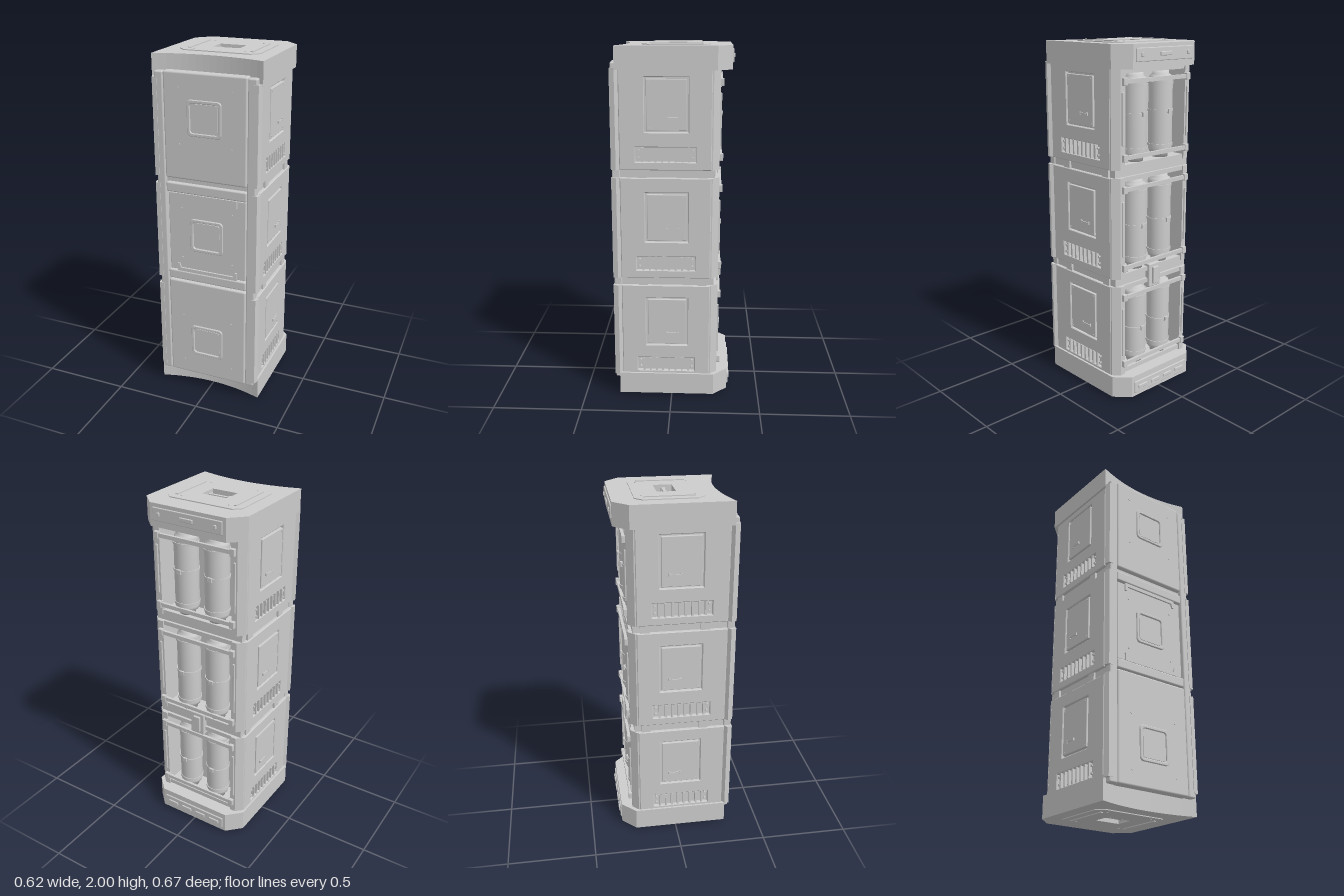
import * as THREE from 'three';
import { RoundedBoxGeometry } from 'three/addons/geometries/RoundedBoxGeometry.js';

const grey = new THREE.MeshStandardMaterial({ color: 0xcccccc });
grey.name = 'plain grey';

function add(parent, name, geo, x = 0, y = 0, z = 0) {
  const m = new THREE.Mesh(geo, grey);
  m.name = name;
  m.position.set(x, y, z);
  parent.add(m);
  return m;
}
// box given by its limits, optionally with rounded edges
function block(parent, name, x0, x1, y0, y1, z0, z1, r = 0) {
  const s = [x1 - x0, y1 - y0, z1 - z0];
  const geo = r ? new RoundedBoxGeometry(...s, 2, r) : new THREE.BoxGeometry(...s);
  return add(parent, name, geo, (x0 + x1) / 2, (y0 + y1) / 2, (z0 + z1) / 2);
}
const poly = (pts) => new THREE.Shape(pts.map((p) => new THREE.Vector2(...p)));
const rect = (x0, x1, y0, y1) => poly([[x0, y0], [x1, y0], [x1, y1], [x0, y1]]);
function roundRect(w, r) {
  const s = new THREE.Shape();
  s.absarc(w - r, w - r, r, 0, Math.PI / 2);
  s.absarc(r - w, w - r, r, Math.PI / 2, Math.PI);
  s.absarc(r - w, r - w, r, Math.PI, Math.PI * 1.5);
  s.absarc(w - r, r - w, r, Math.PI * 1.5, Math.PI * 2);
  return s;
}
const extrude = (shape, depth, bevel = 0) => new THREE.ExtrudeGeometry(shape, {
  depth: depth - bevel, curveSegments: 16, bevelEnabled: bevel > 0,
  bevelThickness: bevel, bevelSize: bevel, bevelOffset: -bevel, bevelSegments: 1 });
// plan outline (x, -z) extruded upward from y0 to y1
function slab(parent, name, shape, y0, y1) {
  const m = add(parent, name, extrude(shape, y1 - y0), 0, y0, 0);
  m.rotation.x = -Math.PI / 2;
  return m;
}

// end cap with hollow front, chamfered back corners and recessed handle
function endCap(name, slots) {
  const g = new THREE.Group();
  g.name = name;
  const outline = [[0.308, -0.3], [0.308, 0.24], [0.228, 0.32], [-0.228, 0.32], [-0.308, 0.24], [-0.308, -0.3]];
  for (let i = 1; i < 16; i++) {
    const t = i / 8 - 1;
    outline.push([t * 0.308, -0.25 - 0.05 * t * t]);
  }
  const well = () => rect(-0.077, 0.077, -0.03, 0.072);
  const lid = poly(outline);
  lid.holes.push(well());
  slab(g, 'capLid', lid, 1.95, 1.99);
  slab(g, 'capBase', poly(outline), 1.865, 1.95);
  const plate = poly([[0.228, -0.122], [0.228, 0.164], [0.19, 0.202], [-0.19, 0.202],
    [-0.228, 0.164], [-0.228, -0.122], [-0.19, -0.162], [0.19, -0.162]]);
  plate.holes.push(well());
  slab(g, 'coverPlate', plate, 1.988, 1.995);
  for (const s of [-1, 1]) {
    block(g, 'plateRail', s * 0.178 - 0.007, s * 0.178 + 0.007, 1.994, 2, -0.155, 0.115);
    for (const z of [-0.16, 0.12])
      add(g, 'plateScrew', new THREE.CylinderGeometry(0.005, 0.005, 0.004, 10), s * 0.145, 1.996, z);
    block(g, 'handleFoot', s * 0.056 - 0.005, s * 0.056 + 0.005, 1.95, 1.986, -0.034, -0.006);
  }
  block(g, 'handleGrip', -0.052, 0.052, 1.974, 1.984, -0.029, -0.012);
  block(g, 'backPlate', -0.21, 0.21, 1.9, 1.97, -0.327, -0.31, 0.004);
  for (const [x, w] of slots)
    block(g, 'backTab', x - w, x + w, 1.925, 1.947, -0.334, -0.32, 0.004);
  return g;
}

// side wall: pierced panel with hatch, handle and vent; s picks the side
function sideWall(s, y0, y1, hatch, vent) {
  const g = new THREE.Group();
  g.name = 'sideWall';
  g.position.x = s * 0.278;
  g.rotation.y = s * Math.PI / 2;
  const span = (za, zb) => [-s * za, -s * zb].sort((a, b) => a - b);
  const hz = span(-0.09, 0.145), vz = span(-0.13, 0.195), pz = span(-0.215, 0.282);
  const panel = rect(...pz, y0, y1);
  panel.holes.push(rect(...hz, ...hatch), rect(...vz, ...vent));
  add(g, 'sidePanel', extrude(panel, 0.018, 0.004));
  // hatch with screws and a small handle
  block(g, 'hatch', hz[0] + 0.01, hz[1] - 0.01, hatch[0] + 0.01, hatch[1] - 0.01, 0, 0.018, 0.003);
  for (const u of [hz[0] + 0.025, hz[1] - 0.025])
    for (const y of [hatch[0] + 0.025, hatch[1] - 0.025])
      add(g, 'hatchScrew', new THREE.CylinderGeometry(0.004, 0.004, 0.004, 8), u, y, 0.019).rotation.x = Math.PI / 2;
  const h = span(-0.038, 0.024), hy = hatch[0] + 0.076;
  block(g, 'hatchHandle', ...h, hy - 0.004, hy + 0.004, 0.022, 0.027);
  for (const u of h) block(g, 'hatchHandleFoot', u - 0.004, u + 0.004, hy - 0.008, hy + 0.008, 0.015, 0.027);
  // vent louvres and end blocks
  const w = vz[1] - vz[0];
  for (let i = 1; i < 9; i++) {
    const u = vz[0] + w * (i / 9);
    block(g, 'ventBar', u - 0.005, u + 0.005, ...vent, 0, 0.019);
  }
  for (const e of [0, 1]) {
    const u = vz[0] + e * w + (e ? -0.016 : 0.016);
    for (const y of [vent[0] + 0.02, vent[1] - 0.02])
      add(g, 'ventBolt', new THREE.CylinderGeometry(0.007, 0.007, 0.016, 8), u, y, 0.008).rotation.x = Math.PI / 2;
  }
  return g;
}

// pair of tanks with clamps and rails inside the open back
function tankBay(y0, y1, mid) {
  const g = new THREE.Group();
  g.name = 'tankBay';
  const a = y0 + 0.025, b = y1 - 0.025;
  const profile = [[0, a], [0.045, a], [0.045, a + 0.02], [0.06, a + 0.03], [0.067, a + 0.05],
    [0.067, b - 0.05], [0.06, b - 0.03], [0.045, b - 0.02], [0.045, b], [0, b]].map((p) => new THREE.Vector2(...p));
  for (const x of [-0.097, 0.097]) {
    add(g, 'tank', new THREE.LatheGeometry(profile, 24), x, 0, -0.195);
    for (const y of [a + 0.07, mid, b - 0.07])
      add(g, 'tankClamp', new THREE.CylinderGeometry(0.071, 0.071, 0.014, 24), x, y, -0.195);
    block(g, 'clampBuckle', x - 0.012, x + 0.012, mid - 0.012, mid + 0.012, -0.273, -0.25);
  }
  for (const y of [a + 0.04, b - 0.04]) {
    block(g, 'rail', -0.24, 0.24, y - 0.011, y + 0.011, -0.272, -0.256);
    for (const s of [-1, 1])
      block(g, 'railBracket', s * 0.235 - 0.014, s * 0.235 + 0.014, y - 0.02, y + 0.02, -0.277, -0.25, 0.003);
  }
  for (const y of [y0, y1 - 0.025]) block(g, 'bayShelf', -0.24, 0.24, y, y + 0.025, -0.25, -0.1);
  return g;
}

export function createModel() {
  const root = new THREE.Group();
  root.name = 'stackedLocker';
  root.add(endCap('topCap', [[0, 0.04], [-0.17, 0.008], [0.17, 0.008]]));
  const foot = endCap('bottomCap', [[-0.15, 0.034], [-0.05, 0.034], [0.05, 0.034], [0.15, 0.034]]);
  foot.rotation.z = Math.PI;
  foot.position.y = 2;
  root.add(foot);
  block(root, 'core', -0.27, 0.27, 0.13, 1.87, -0.115, 0.285);

  const modules = [
    { y: [0.125, 0.675], hatch: [0.31, 0.6], vent: [0.15, 0.23], mid: 0.385, win: 0.335 },
    { y: [0.72, 1.292], hatch: [0.93, 1.21], vent: [0.765, 0.845], mid: 1.0, win: 1.005 },
    { y: [1.335, 1.875], hatch: [1.54, 1.83], vent: [1.38, 1.46], mid: 1.62, win: 1.675 },
  ];
  for (const m of modules) {
    const [y0, y1] = m.y;
    root.add(tankBay(Math.max(y0, 0.14), Math.min(y1, 1.865), m.mid));
    for (const s of [-1, 1]) {
      root.add(sideWall(s, y0, y1, m.hatch, m.vent));
      // back corner post and flared front edge
      const post = [[0.278, 0.1], [0.278, 0.215], [0.294, 0.215], [0.294, 0.222], [0.258, 0.258], [0.225, 0.258], [0.225, 0.1]];
      const flare = [[0.27, -0.328], [0.296, -0.328], [0.306, -0.3], [0.284, -0.28], [0.27, -0.28]];
      const side = (pts) => poly(pts.map(([x, v]) => [s * x, v]));
      slab(root, 'backPost', side(post), y0, y1);
      slab(root, 'frontFlare', side(flare), y0, y1);
      block(root, 'postStrip', s * 0.243 - 0.007, s * 0.243 + 0.007, y0 + 0.13, y1 - 0.13, -0.266, -0.25, 0.003);
    }
    // front window: rounded frame around a set-back pane, with corner screws
    const z = m.win === 1.005 ? 0.312 : 0.325;
    const frame = roundRect(0.097, 0.022);
    frame.holes.push(roundRect(0.08, 0.016));
    add(root, 'windowFrame', extrude(frame, 0.01, 0.003), 0, m.win, z);
    add(root, 'windowPane', extrude(roundRect(0.076, 0.014), 0.005), 0, m.win, z);
    for (const x of [-0.15, 0.15])
      for (const dy of [-0.15, 0.15])
        add(root, 'doorScrew', new THREE.CylinderGeometry(0.007, 0.007, 0.006, 10), x, m.win + dy, z + 0.001).rotation.x = Math.PI / 2;
  }

  // narrow joints between the modules
  for (const [y0, y1] of [[0.67, 0.725], [1.287, 1.34]]) {
    block(root, 'joint', -0.278, 0.278, y0, y1, -0.235, 0.3);
    for (const s of [-1, 1])
      for (const z of [-0.17, 0.16])
        block(root, 'jointBlock', s * 0.283 - 0.007, s * 0.283 + 0.007, y0, y1, z - 0.025, z + 0.025);
  }

  // front doors, bars and corner columns
  block(root, 'lowerDoor', -0.235, 0.235, 0.1, 0.71, 0.27, 0.326, 0.01);
  block(root, 'upperDoor', -0.235, 0.235, 1.33, 1.91, 0.27, 0.326, 0.01);
  block(root, 'middleDoor', -0.228, 0.228, 0.775, 1.242, 0.27, 0.312, 0.004);
  block(root, 'lowerBar', -0.235, 0.235, 0.718, 0.772, 0.27, 0.324, 0.008);
  block(root, 'upperBar', -0.235, 0.235, 1.247, 1.302, 0.27, 0.324, 0.008);
  for (const [y, d] of [[0.772, 1], [1.245, -1]]) {
    const bracket = poly([[-0.18, 0], [0.18, 0], [0.18, d * 0.045], [0.168, d * 0.045],
      [0.16, d * 0.02], [-0.16, d * 0.02], [-0.168, d * 0.045], [-0.18, d * 0.045]]);
    add(root, 'doorBracket', extrude(bracket, 0.012), 0, y, 0.31);
  }
  for (const s of [-1, 1])
    block(root, 'frontColumn', s * 0.2615 - 0.0245, s * 0.2615 + 0.0245, 0.1, 1.905, 0.28, 0.325, 0.008);

  // latch on the back between the two lower bays
  block(root, 'latchBody', -0.045, 0.045, 0.62, 0.76, -0.265, -0.22, 0.006);
  block(root, 'latchLever', -0.022, 0.022, 0.64, 0.74, -0.278, -0.25, 0.004);
  return root;
}
